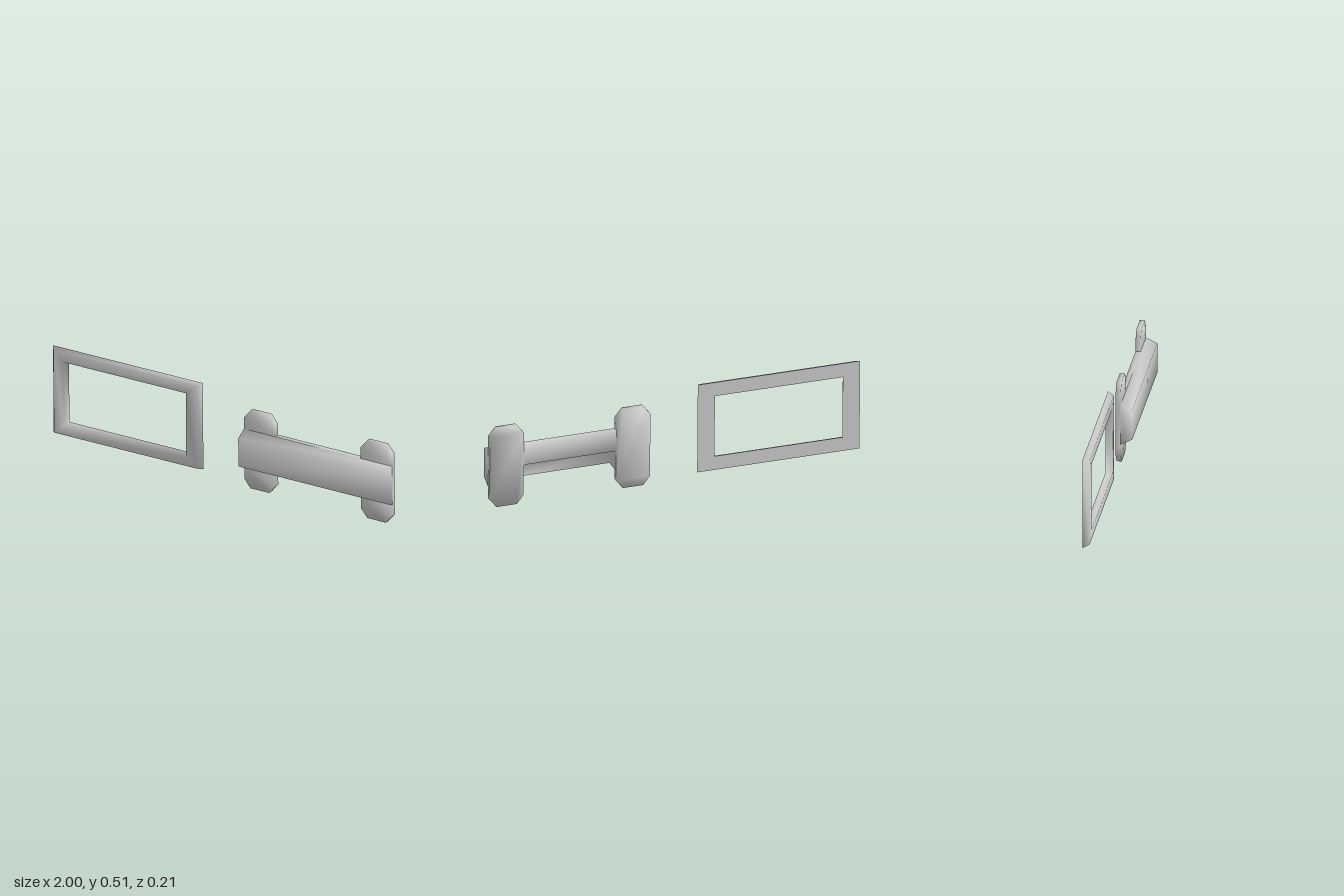
import * as THREE from 'three';
import { toCreasedNormals } from 'three/addons/utils/BufferGeometryUtils.js';

const material = new THREE.MeshStandardMaterial({ color: 0xcccccc });

// Soft-shaded mesh from convex polygons, corners counter-clockwise from outside
function polygonMesh(name, polygons) {
  const pos = [];
  for (const p of polygons) {
    for (let i = 1; i < p.length - 1; i++) pos.push(...p[0], ...p[i], ...p[i + 1]);
  }
  const g = new THREE.BufferGeometry();
  g.setAttribute('position', new THREE.Float32BufferAttribute(pos, 3));
  const mesh = new THREE.Mesh(toCreasedNormals(g, 1.6), material);
  mesh.name = name;
  return mesh;
}

const mirror = (polygons) => polygons.map((p) => p.map(([x, y, z]) => [-x, y, z]).reverse());

// Closed frame through rectangular rings given as [half width, half height, depth]
function ringPolygons(rings) {
  const corners = rings.map(([w, h, z]) => [[-w, -h, z], [w, -h, z], [w, h, z], [-w, h, z]]);
  const polygons = [];
  corners.forEach((ring, r) => {
    const next = corners[(r + 1) % rings.length];
    for (let i = 0; i < 4; i++) {
      const j = (i + 1) % 4;
      polygons.push([ring[i], ring[j], next[j], next[i]]);
    }
  });
  return polygons;
}

export function createModel() {
  const model = new THREE.Group();
  model.name = 'frameAndBracket';
  const tilt = -0.06;

  // Rectangular frame: outer back, outer front, inner front, inner back
  const frame = polygonMesh('rectangularFrame', ringPolygons([
    [0.439, 0.2435, 0], [0.418, 0.231, 0.033], [0.358, 0.181, 0.033], [0.346, 0.1675, 0],
  ]));
  frame.position.set(-0.5615, 0.2645, -0.075);
  frame.rotation.set(0, tilt, 0.0075);
  model.add(frame);

  const bracket = new THREE.Group();
  bracket.name = 'bracket';
  bracket.position.set(0.565, 0.222, -0.0072);
  bracket.rotation.set(0, tilt, 0.0055);
  model.add(bracket);

  // Bracket sizes: lengths along x, depths along z, heights along y
  const end = 0.434, inner = 0.25, recess = 0.235, lip = 0.243;
  const plate = 0.026, shell = 0.055, front = 0.085;
  const top = 0.109, bottom = -0.109, frontTop = 0.08, frontBottom = -0.079;
  const ceiling = -0.007, shellBottom = -0.094;

  // Tapered bar with a recess under its back
  const barMiddle = [
    [[-end, frontBottom, front], [end, frontBottom, front], [end, frontTop, front], [-end, frontTop, front]],
    [[-end, frontTop, front], [end, frontTop, front], [end, top, plate], [-end, top, plate]],
    [[-inner, top, plate], [inner, top, plate], [inner, top, 0], [-inner, top, 0]],
    [[inner, ceiling, 0], [-inner, ceiling, 0], [-inner, top, 0], [inner, top, 0]],
    [[-inner, ceiling, 0], [inner, ceiling, 0], [recess, ceiling, shell], [-recess, ceiling, shell]],
    [[recess, shellBottom, shell], [-recess, shellBottom, shell],
      [-recess, ceiling, shell], [recess, ceiling, shell]],
    [[-recess, shellBottom, shell], [recess, shellBottom, shell],
      [recess, frontBottom, front], [-recess, frontBottom, front]],
  ];

  // Bar end: underside, outer cap, slanted recess wall and its lip
  const barEnd = [
    [[recess, shellBottom, shell], [lip, bottom, plate], [end, bottom, plate],
      [end, frontBottom, front], [recess, frontBottom, front]],
    [[end, bottom, plate], [end, top, plate], [end, frontTop, front], [end, frontBottom, front]],
    [[inner, bottom, 0], [lip, bottom, plate], [recess, shellBottom, shell],
      [recess, ceiling, shell], [inner, ceiling, 0]],
    [[inner, bottom, 0], [inner, bottom, plate], [lip, bottom, plate]],
  ];
  bracket.add(polygonMesh('bar', [...barMiddle, ...barEnd, ...mirror(barEnd)]));

  // End plate with cut corners, reaching above and below the bar
  const h = 0.219, cx = 0.037, cy = 0.046;
  const path = [
    [inner, bottom], [inner, -h + cy], [inner + cx, -h], [end - cx, -h], [end, -h + cy], [end, bottom],
    [end, top], [end, h - cy], [end - cx, h], [inner + cx, h], [inner, h - cy], [inner, top],
  ];
  const atDepth = (points, z) => points.map(([x, y]) => [x, y, z]);
  const endPlate = [
    atDepth(path.slice(0, 6), plate),
    atDepth(path.slice(6), plate),
    atDepth([...path.slice(1, 5), ...path.slice(7, 11)].reverse(), 0),
  ];
  for (let i = 0; i < path.length - 1; i++) {
    const a = path[i], b = path[i + 1];
    endPlate.push([[...a, plate], [...a, 0], [...b, 0], [...b, plate]]);
  }
  bracket.add(polygonMesh('leftEndPlate', endPlate));
  bracket.add(polygonMesh('rightEndPlate', mirror(endPlate)));
  return model;
}
